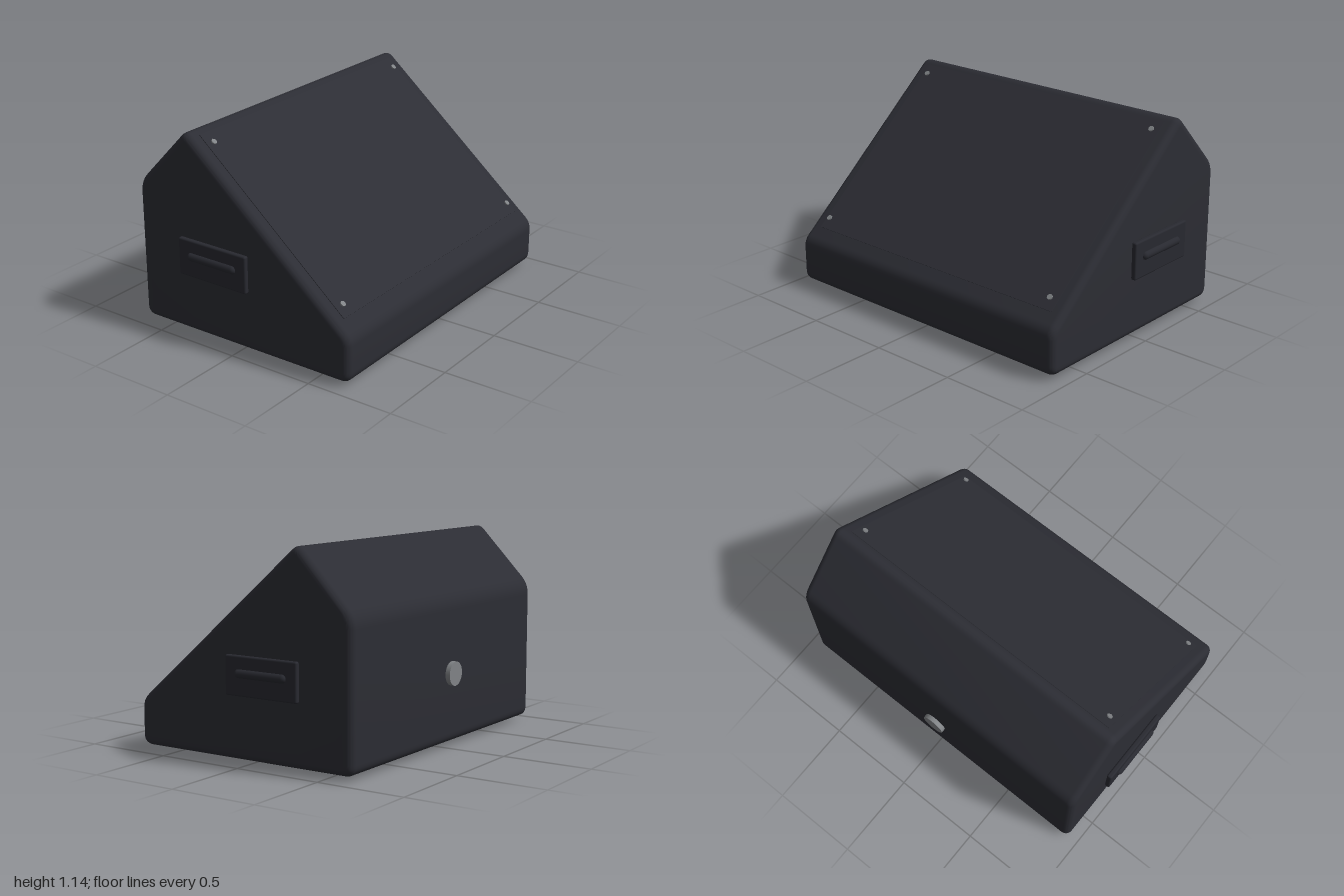
import * as THREE from 'three';
import { toCreasedNormals } from 'three/addons/utils/BufferGeometryUtils.js';
import { RoundedBoxGeometry } from 'three/addons/geometries/RoundedBoxGeometry.js';

const flat = (name, color) => Object.assign(new THREE.MeshStandardMaterial({ color }), { name });

// Closed outline whose corners [x, y, cut] are rounded off
function roundedOutline(corners) {
  const shape = new THREE.Shape();
  corners.forEach(([x, y, cut], i) => {
    const p = new THREE.Vector2(x, y);
    const toward = ([a, b]) => new THREE.Vector2(a, b).sub(p).setLength(cut).add(p);
    const start = toward(corners.at(i - 1));
    const end = toward(corners[(i + 1) % corners.length]);
    if (i === 0) shape.moveTo(start.x, start.y);
    else shape.lineTo(start.x, start.y);
    shape.quadraticCurveTo(x, y, end.x, end.y);
  });
  shape.closePath();
  return shape;
}

export function createModel() {
  const model = new THREE.Group();
  model.name = 'wedgeSpeaker';
  const cabinetPaint = flat('cabinet charcoal', 0x2c2d34);
  const grillePaint = flat('grille charcoal', 0x2d2e35);
  const handlePaint = flat('handle charcoal', 0x282930);
  const rubber = flat('foot rubber', 0x222226);
  const metal = flat('grey metal', 0x808386);

  function add(name, geometry, material, x, y, z, tilt = 0) {
    const mesh = new THREE.Mesh(geometry, material);
    mesh.name = name;
    mesh.position.set(x, y, z);
    mesh.rotation.x = tilt;
    model.add(mesh);
    return mesh;
  }

  // Cabinet: side profile in (z, y), extruded across the width
  const bevel = 0.04, width = 1.88;
  const profile = roundedOutline([
    [-0.665, 0.025, 0.06], [0.705, 0.025, 0.06], [0.705, 0.275, 0.045],
    [-0.331, 1.162, 0.05], [-0.665, 0.815, 0.06],
  ]);
  const cabinet = new THREE.ExtrudeGeometry(profile, {
    depth: width - 2 * bevel, curveSegments: 8, bevelSegments: 8,
    bevelSize: bevel, bevelThickness: bevel, bevelOffset: -bevel,
  });
  cabinet.translate(0, 0, bevel - width / 2).rotateY(-Math.PI / 2);
  add('cabinet', toCreasedNormals(cabinet, 0.3), cabinetPaint, 0, 0, 0);

  // Sloping front grille, nearly flush with the cabinet
  const slope = Math.atan2(0.887, 1.036);
  add('grille', new THREE.BoxGeometry(1.73, 0.008, 1.2), grillePaint, 0, 0.735, 0.167, slope);

  // Grille screws
  const screw = new THREE.CylinderGeometry(0.016, 0.016, 0.007, 8);
  for (const x of [-0.825, 0.825]) {
    add('lowerScrew', screw, metal, x, 0.404, 0.59, slope);
    add('upperScrew', screw, metal, x, 1.094, -0.225, slope);
  }

  // Side handles: back plate and rounded grip
  const plate = new RoundedBoxGeometry(0.03, 0.21, 0.45, 3, 0.01);
  const grip = new THREE.CapsuleGeometry(0.024, 0.276, 6, 16).rotateX(Math.PI / 2);
  for (const side of [-1, 1]) {
    add('handlePlate', plate, handlePaint, side * 0.967, 0.475, -0.137);
    add('handleGrip', grip, handlePaint, side * 0.976, 0.488, -0.137);
  }

  // Feet
  const foot = new RoundedBoxGeometry(0.155, 0.05, 0.155, 3, 0.018);
  for (const x of [-0.673, 0.673]) {
    for (const z of [-0.433, 0.473]) add('foot', foot, rubber, x, 0.025, z);
  }

  // Round socket on the back
  const socket = new THREE.CylinderGeometry(0.066, 0.066, 0.026, 24);
  add('rearSocket', socket, metal, 0, 0.415, -0.691, Math.PI / 2);

  return model;
}
